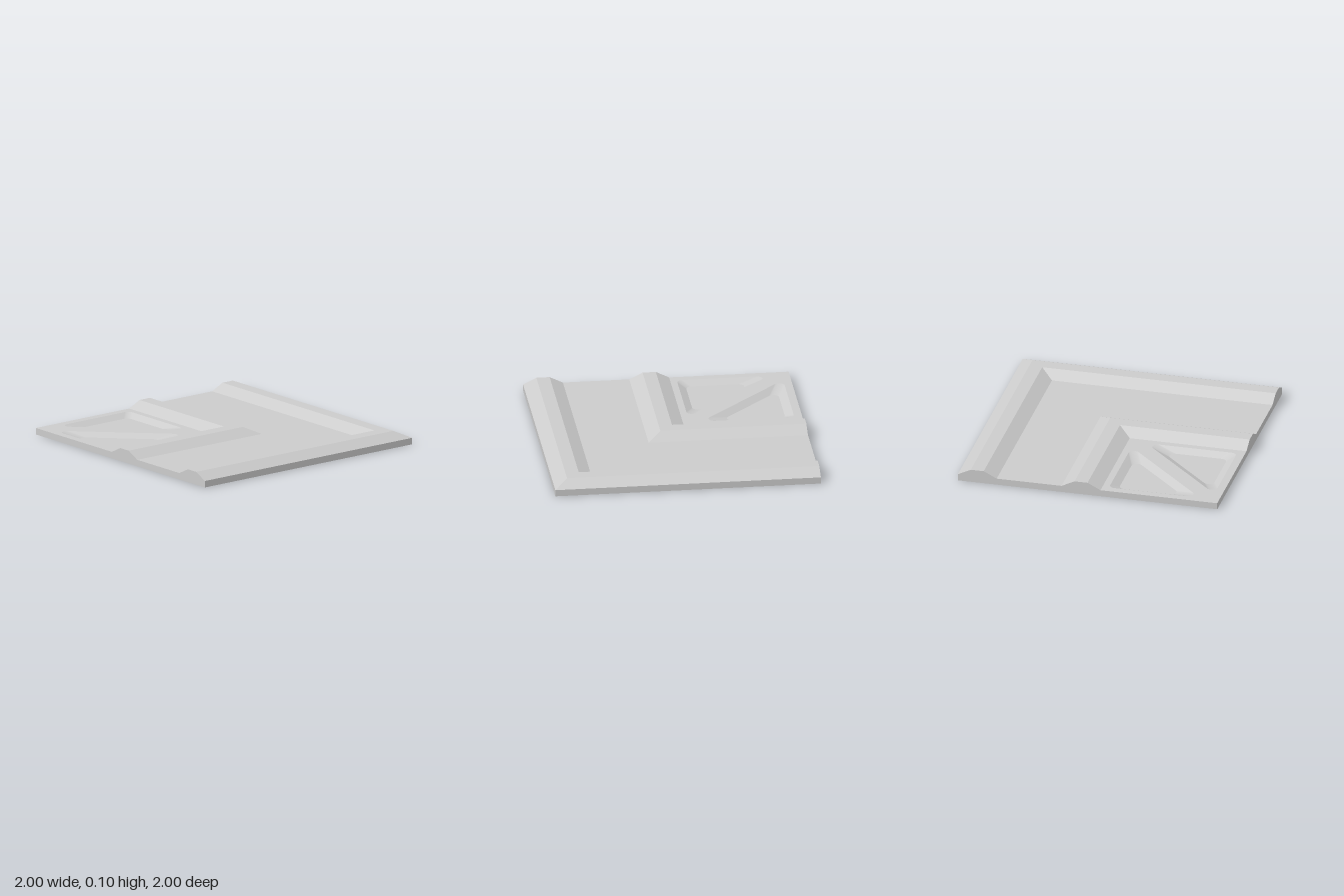
import * as THREE from 'three';

const TOP = 0.05;   // height of the flat sheet
const DEPTH = 0.03; // depth of the triangular recesses
const material = new THREE.MeshStandardMaterial({ color: 0xcccccc });

// Moulding section: distance from the panel origin, height
const profile = [
  [-0.1, 0.05], [0, 0.1], [0.1, 0.1], [0.2, 0.05], [0.7, 0.05],
  [0.8, 0.1], [0.9, 0.1], [1, 0.05], [1, 0],
];

function fromTriangles(positions, index) {
  const g = new THREE.BufferGeometry();
  g.setAttribute('position', new THREE.Float32BufferAttribute(positions, 3));
  g.setIndex(index);
  g.computeVertexNormals();
  return g;
}

// Mirror across the x = z diagonal, keeping faces outward
function mirrorDiagonal(geometry) {
  const g = geometry.clone();
  for (const name of ['position', 'normal']) {
    const a = g.attributes[name];
    for (let i = 0; i < a.count; i++) a.setXYZ(i, a.getZ(i), a.getY(i), a.getX(i));
  }
  g.setIndex(Array.from(g.index.array).reverse());
  return g;
}

// Mitred strips of one arm, each strip with its own flat normals
function mouldingArm() {
  const pos = [], idx = [];
  for (let i = 0; i < profile.length - 1; i++) {
    const [d0, y0] = profile[i], [d1, y1] = profile[i + 1], n = i * 4;
    pos.push(-1, y0, d0, -1, y1, d1, d1, y1, d1, d0, y0, d0);
    idx.push(n, n + 1, n + 2, n, n + 2, n + 3);
  }
  return fromTriangles(pos, idx);
}

// Cut end showing the section
function endCap() {
  const pts = [[-1, 0], [-1, TOP], ...profile].map(([d, y]) => new THREE.Vector2(d, y));
  return new THREE.ShapeGeometry(new THREE.Shape(pts)).rotateY(-Math.PI / 2).translate(-1, 0, 0);
}

// Right triangle inset by h with rounded corners, in (x, -z)
function roundedTriangle(h) {
  const r = 0.042, leg = 0.7, inradius = leg * (1 - Math.SQRT1_2);
  const cx = -0.94 + inradius, cy = 0.15 + inradius;
  const k = 1 - (h + r) / inradius, segs = 8, pts = [];
  const corners = [[-0.94, 0.15, 180, 270], [-0.24, 0.15, 270, 405], [-0.94, 0.85, 45, 180]];
  for (const [x, y, from, to] of corners) {
    for (let i = 0; i <= segs; i++) {
      const a = THREE.MathUtils.degToRad(from + (to - from) * i / segs);
      pts.push(new THREE.Vector2(
        cx + (x - cx) * k + r * Math.cos(a), cy + (y - cy) * k + r * Math.sin(a)));
    }
  }
  return pts;
}

// Sloped wall between two outlines
function recessWall(outer, inner) {
  const n = outer.length, pos = [], idx = [];
  outer.forEach((p) => pos.push(p.x, TOP, -p.y));
  inner.forEach((p) => pos.push(p.x, TOP - DEPTH, -p.y));
  for (let i = 0; i < n; i++) {
    const j = (i + 1) % n;
    idx.push(i, j, n + j, i, n + j, n + i);
  }
  return fromTriangles(pos, idx);
}

function flatShape(shape, y) {
  return new THREE.ShapeGeometry(shape).rotateX(-Math.PI / 2).translate(0, y, 0);
}

export function createModel() {
  const group = new THREE.Group();
  const add = (name, geometry) => {
    const mesh = new THREE.Mesh(geometry, material);
    mesh.name = name;
    group.add(mesh);
  };
  const addPair = (name, geometry) => {
    add(name + 'Front', geometry);
    add(name + 'Side', mirrorDiagonal(geometry));
  };

  // Frame mouldings and their cut ends
  addPair('moulding', mouldingArm());
  addPair('endCap', endCap());

  // Corner panel with two triangular openings
  const outer = roundedTriangle(0), inner = roundedTriangle(0.06);
  const panel = new THREE.Shape([[-1, 0.1], [-0.1, 0.1], [-0.1, 1], [-1, 1]]
    .map(([x, y]) => new THREE.Vector2(x, y)));
  panel.holes.push(new THREE.Path(outer));
  panel.holes.push(new THREE.Path(outer.map((p) => new THREE.Vector2(-p.y, -p.x))));
  add('cornerPanel', flatShape(panel, TOP));

  // Recesses
  addPair('recessWall', recessWall(outer, inner));
  addPair('recessFloor', flatShape(new THREE.Shape(inner), TOP - DEPTH));

  // Underside
  add('underside', new THREE.PlaneGeometry(2, 2).rotateX(Math.PI / 2));
  return group;
}
